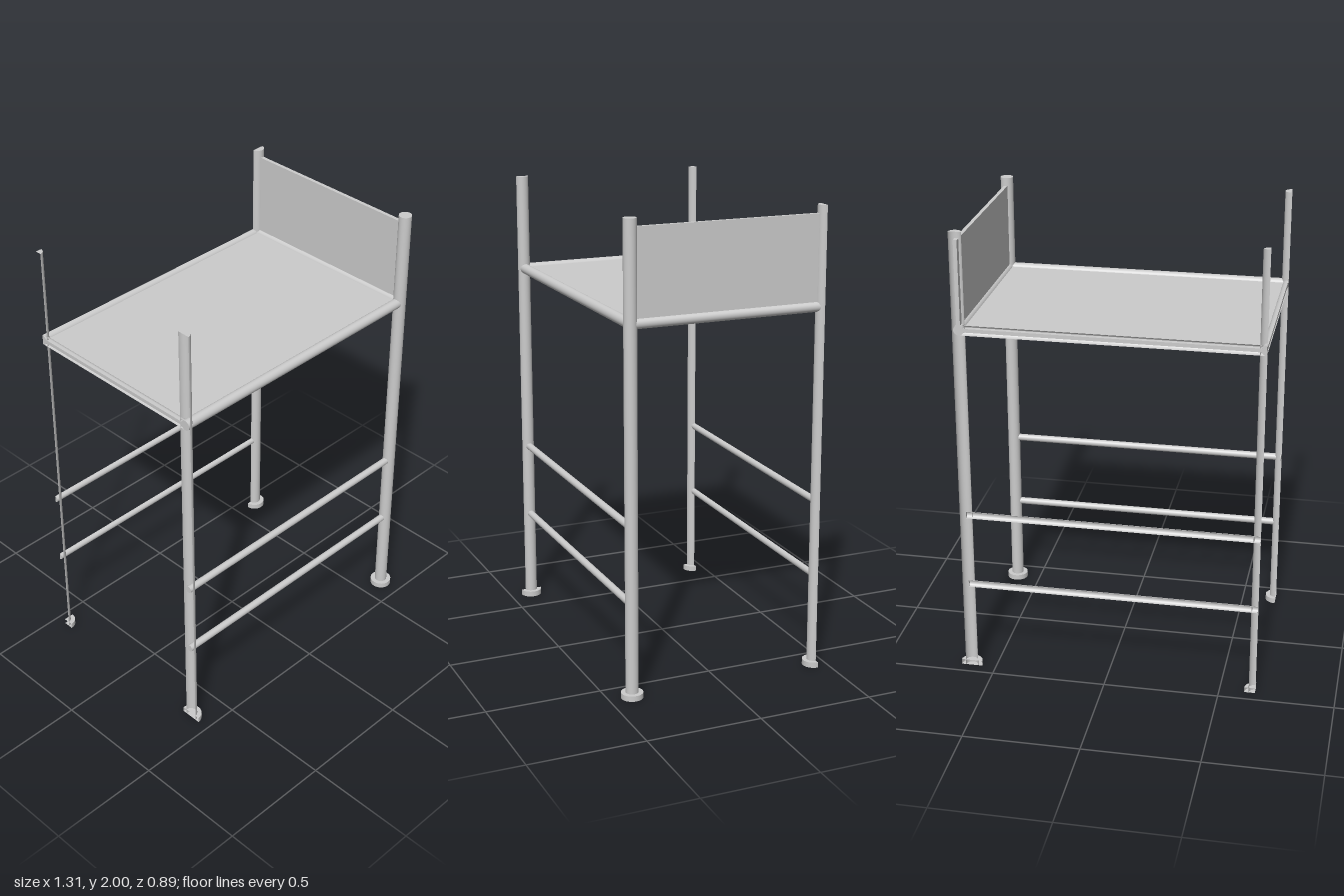
import * as THREE from 'three';

// Post axes; the left and back sides are cut open along these lines
const XR = 0.608, XL = -0.655, ZF = 0.4, ZB = -0.447;
const DECK_Y = 1.582;
const ARC = {
  full: [0, Math.PI * 2],
  facingLeft: [0, Math.PI],              // half towards +x
  facingFront: [-Math.PI / 2, Math.PI],  // half towards +z
  corner: [0, Math.PI / 2],              // quarter towards +x +z
};

export function createModel() {
  const model = new THREE.Group();
  const mat = new THREE.MeshStandardMaterial({ color: 0xcccccc, side: THREE.DoubleSide });

  const add = (name, geo, x, y, z, parent = model) => {
    const mesh = new THREE.Mesh(geo, mat);
    mesh.name = name;
    mesh.position.set(x, y, z);
    parent.add(mesh);
    return mesh;
  };
  const tube = (r, length, arc) => {
    const seg = Math.round(32 * arc[1] / (Math.PI * 2));
    return new THREE.CylinderGeometry(r, r, length, seg, 1, false, arc[0], arc[1]);
  };

  // Corner posts with round feet
  const post = (name, x, z, arc) => {
    const group = new THREE.Group();
    group.name = name;
    model.add(group);
    add('tube', tube(0.0275, 2, arc), x, 1, z, group);
    add('foot', tube(0.047, 0.024, arc), x, 0.012, z, group);
  };
  post('frontRightPost', XR, ZF, ARC.full);
  post('frontLeftPost', XL, ZF, ARC.facingLeft);
  post('backRightPost', XR, ZB, ARC.facingFront);
  post('backLeftPost', XL, ZB, ARC.corner);

  // Long rails at front and back: two braces and the deck frame
  const midX = (XL + XR) / 2, midZ = (ZF + ZB) / 2;
  const lenX = XR - XL, lenZ = ZF - ZB;
  for (const [name, y, r] of [['lowerBrace', 0.41, 0.0155], ['upperBrace', 0.742, 0.0155], ['deckRail', DECK_Y, 0.022]]) {
    add(name + 'Front', tube(r, lenX, ARC.full).rotateZ(Math.PI / 2), midX, y, ZF);
    add(name + 'Back', tube(r, lenX, ARC.facingFront).rotateZ(Math.PI / 2), midX, y, ZB);
  }

  // Short deck rails at the ends
  add('deckRailRight', tube(0.022, lenZ, ARC.full).rotateX(Math.PI / 2), XR, DECK_Y, midZ);
  add('deckRailLeft', tube(0.022, lenZ, ARC.facingLeft).rotateX(Math.PI / 2), XL, DECK_Y, midZ);

  // Deck and upright end panel
  add('deck', new THREE.BoxGeometry(lenX, 0.016, lenZ), midX, DECK_Y, midZ);
  add('endPanel', new THREE.BoxGeometry(0.016, 1.965 - DECK_Y, lenZ), XR, (1.965 + DECK_Y) / 2, midZ);

  return model;
}
